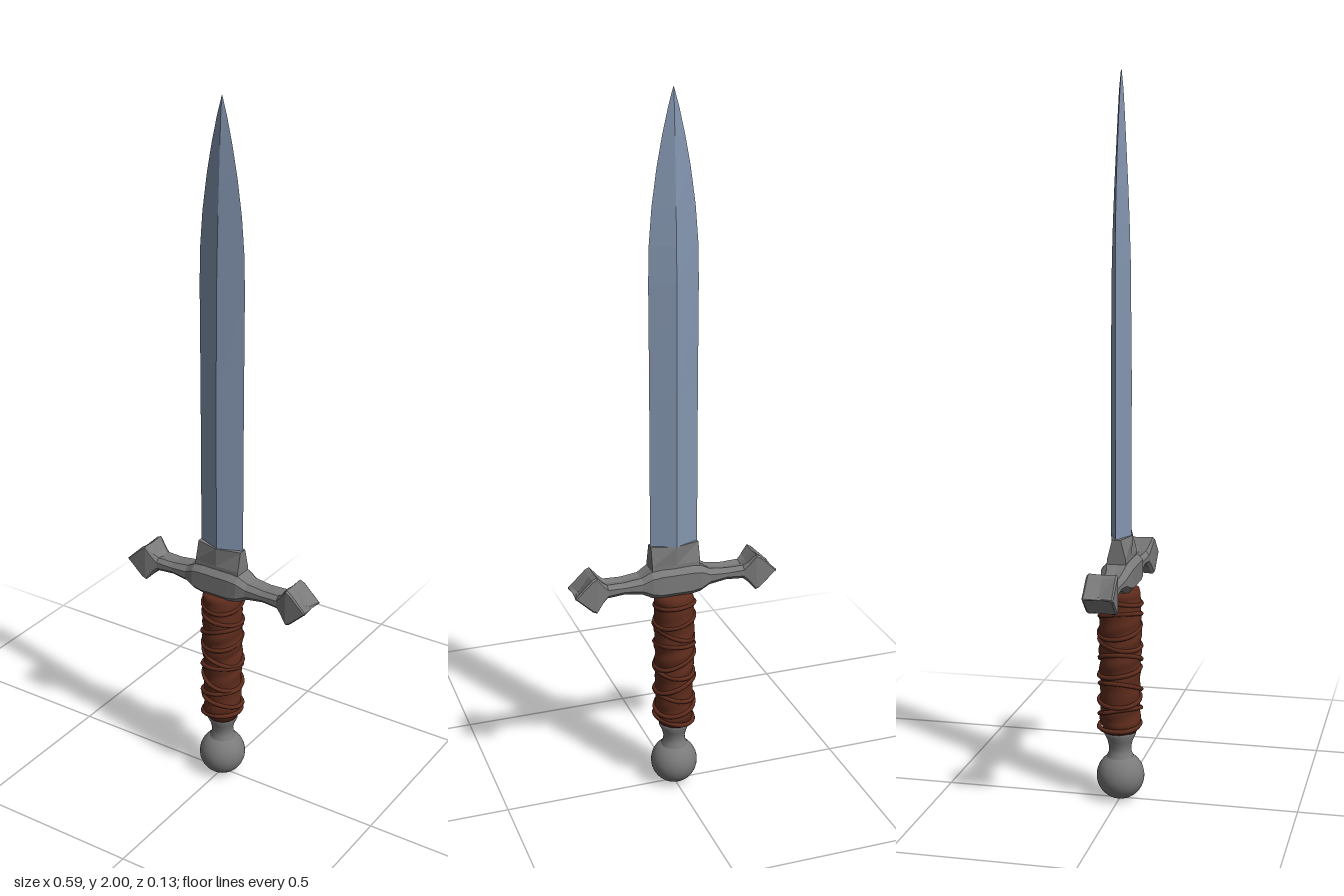
import * as THREE from 'three';

const steel = new THREE.MeshStandardMaterial({ color: 0x8496b0 });
steel.name = 'blade steel';
const iron = new THREE.MeshStandardMaterial({ color: 0x7a7a7a });
iron.name = 'grey iron';
const leather = new THREE.MeshStandardMaterial({ color: 0x5e2c1c });
leather.name = 'brown leather';

// Joins equal-length rings of [x, y, z] points into a closed, faceted solid
function loft(rings) {
  const pos = [];
  const n = rings[0].length;
  const tri = (a, b, c) => pos.push(...a, ...b, ...c);
  const centre = (ring) => [0, 1, 2].map((k) => ring.reduce((s, p) => s + p[k], 0) / n);
  for (let i = 0; i < rings.length - 1; i++) {
    for (let j = 0; j < n; j++) {
      const k = (j + 1) % n;
      const [a, b, c, d] = [rings[i][j], rings[i][k], rings[i + 1][j], rings[i + 1][k]];
      tri(a, c, b);
      tri(b, c, d);
    }
  }
  const first = rings[0], last = rings[rings.length - 1];
  const c0 = centre(first), c1 = centre(last);
  for (let j = 0; j < n; j++) {
    const k = (j + 1) % n;
    tri(c0, first[j], first[k]);
    tri(c1, last[k], last[j]);
  }
  const geo = new THREE.BufferGeometry();
  geo.setAttribute('position', new THREE.Float32BufferAttribute(pos, 3));
  geo.computeVertexNormals();
  return geo;
}

function part(name, geo, material) {
  const mesh = new THREE.Mesh(geo, material);
  mesh.name = name;
  return mesh;
}

// Diamond-section blade: y, half width, half depth
function makeBlade() {
  const z0 = 0.003;
  const sections = [
    [0.75, 0.069, 0.029], [1.2, 0.069, 0.029], [1.5, 0.07, 0.026], [1.6, 0.068, 0.023],
    [1.7, 0.06, 0.019], [1.8, 0.046, 0.014], [1.88, 0.031, 0.01], [1.95, 0.015, 0.006], [2, 0.001, 0.001],
  ];
  return part('blade', loft(sections.map(([y, w, d]) =>
    [[w, y, z0], [0, y, z0 + d], [-w, y, z0], [0, y, z0 - d]])), steel);
}

// Collar between guard and blade, thinning towards the edges
function makeCollar() {
  const z0 = 0.005;
  const sections = [[0.66, 0.07, 0.028, 0.029], [0.7, 0.07, 0.026, 0.028], [0.755, 0.0695, 0.012, 0.03]];
  return part('bladeCollar', loft(sections.map(([y, w, e, d]) => [
    [w, y, z0 + e], [0, y, z0 + d], [-w, y, z0 + e],
    [-w, y, z0 - e], [0, y, z0 - d], [w, y, z0 - e],
  ])), iron);
}

// Crossguard lofted along x: x, bottom, top, half depth, chamfer, groove
function makeGuard() {
  const z0 = 0.006;
  const half = [
    [0.045, 0.604, 0.69, 0.044, 0.016, 0], [0.072, 0.609, 0.687, 0.043, 0.016, 0],
    [0.1, 0.622, 0.671, 0.036, 0.014, 0.004], [0.15, 0.629, 0.665, 0.033, 0.012, 0.005],
    [0.2, 0.626, 0.666, 0.034, 0.011, 0.005], [0.214, 0.615, 0.677, 0.037, 0.008, 0.004],
    [0.234, 0.592, 0.7, 0.042, 0.005, 0.002], [0.246, 0.597, 0.694, 0.042, 0.005, 0.005],
    [0.289, 0.638, 0.652, 0.042, 0.004, 0.004], [0.295, 0.643, 0.647, 0.04, 0.001, 0.001],
  ];
  const ring = ([x, b, t, d, c, g], side) => {
    const inner = x > 0.27 ? x - 0.012 : x; // hollowed end face
    const p = (z, y, px = x) => [side * px, y, z0 + z];
    return [
      p(d, b + c), p(d, t - c), p(d - c, t), p(0, t - g, inner), p(c - d, t),
      p(-d, t - c), p(-d, b + c), p(c - d, b), p(0, b + g, inner), p(d - c, b),
    ];
  };
  const rings = [...half.slice().reverse().map((s) => ring(s, -1)), ...half.map((s) => ring(s, 1))];
  return part('crossguard', loft(rings), iron);
}

// Leather grip with slanted folds and loose cords
function makeGrip() {
  const grip = new THREE.Group();
  grip.name = 'grip';
  const profile = [[0.001, 0.195], [0.044, 0.195], [0.052, 0.215]];
  for (let i = 1; i <= 60; i++) profile.push([0.055, 0.215 + i * 0.0063]);
  profile.push([0.05, 0.607], [0.001, 0.607]);
  const core = new THREE.LatheGeometry(profile.map(([r, y]) => new THREE.Vector2(r, y)), 40);
  const p = core.attributes.position;
  for (let i = 0; i < p.count; i++) {
    const x = p.getX(i), y = p.getY(i), z = p.getZ(i);
    const a = Math.atan2(z, x);
    const fold = 0.05 * Math.abs(Math.sin(y * 52 + a)) + 0.025 * Math.sin(y * 130 + 2 * a);
    const s = 0.97 + fold + 0.03 * Math.sin(y * 16);
    p.setXYZ(i, x * s, y, z * s * 1.04);
  }
  core.computeVertexNormals();
  grip.add(part('leatherWrap', core, leather));

  // height, tilt, direction of tilt
  const cords = [
    [0.215, 0.008, 0.5], [0.255, 0.018, 2.4], [0.29, 0.012, 0.2], [0.325, 0.022, 3.3], [0.37, 0.012, 1.1],
    [0.405, 0.024, 3], [0.45, 0.012, 5.2], [0.49, 0.02, 0.4], [0.53, 0.014, 2.7], [0.572, 0.01, 4.4],
  ];
  for (const [y, tilt, turn] of cords) {
    const pts = Array.from({ length: 16 }, (_, k) => {
      const a = (k / 16) * Math.PI * 2;
      const r = 0.0555 + 0.0015 * Math.sin(3 * a + turn);
      return new THREE.Vector3(r * Math.cos(a), y + tilt * Math.cos(a - turn), r * 1.04 * Math.sin(a));
    });
    const path = new THREE.CatmullRomCurve3(pts, true);
    grip.add(part('wrapCord', new THREE.TubeGeometry(path, 40, 0.0065, 6, true), leather));
  }
  return grip;
}

// Ball pommel with a waisted neck
function makePommel() {
  const pommel = new THREE.Group();
  pommel.name = 'pommel';
  const ball = part('pommelBall', new THREE.SphereGeometry(0.067, 32, 20), iron);
  ball.position.set(0, 0.067, 0.001);
  const neck = [[0.04, 0.118], [0.032, 0.135], [0.031, 0.15], [0.036, 0.17], [0.044, 0.187], [0.043, 0.2], [0.001, 0.2]];
  pommel.add(ball, part('pommelNeck',
    new THREE.LatheGeometry(neck.map(([r, y]) => new THREE.Vector2(r, y)), 24), iron));
  return pommel;
}

export function createModel() {
  const sword = new THREE.Group();
  sword.name = 'shortSword';
  sword.add(makeBlade(), makeCollar(), makeGuard(), makeGrip(), makePommel());
  return sword;
}
